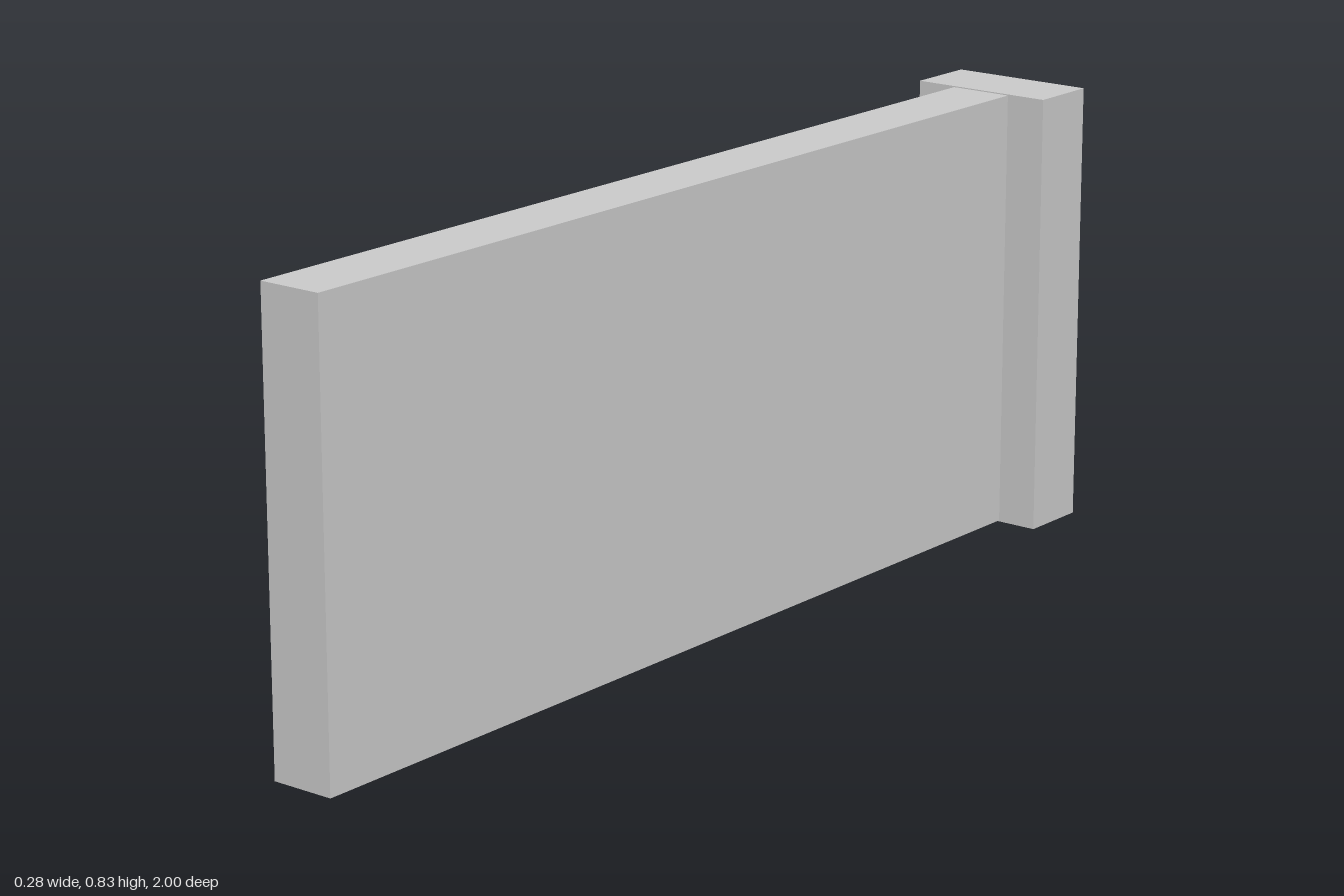
import * as THREE from 'three';

const material = new THREE.MeshStandardMaterial({ color: 0xcccccc, flatShading: true });

// Box given by its lower and upper corners
function block(name, min, max) {
  const size = max.map((v, i) => v - min[i]);
  const mesh = new THREE.Mesh(new THREE.BoxGeometry(...size), material);
  mesh.position.set(...max.map((v, i) => (v + min[i]) / 2));
  mesh.name = name;
  return mesh;
}

export function createModel() {
  const group = new THREE.Group();
  group.name = 'wallSection';
  const height = 0.833;
  const joint = -0.865; // z of the post's front face
  const lip = 0.002; // the panel sits just inside the post's height

  // Post across the back end
  group.add(block('endPost', [-0.14, 0, -1], [0.14, height, joint]));

  // Long wall panel running forward from the post
  group.add(block('wallPanel', [-0.061, lip, joint], [0.061, height - lip, 1]));

  return group;
}
